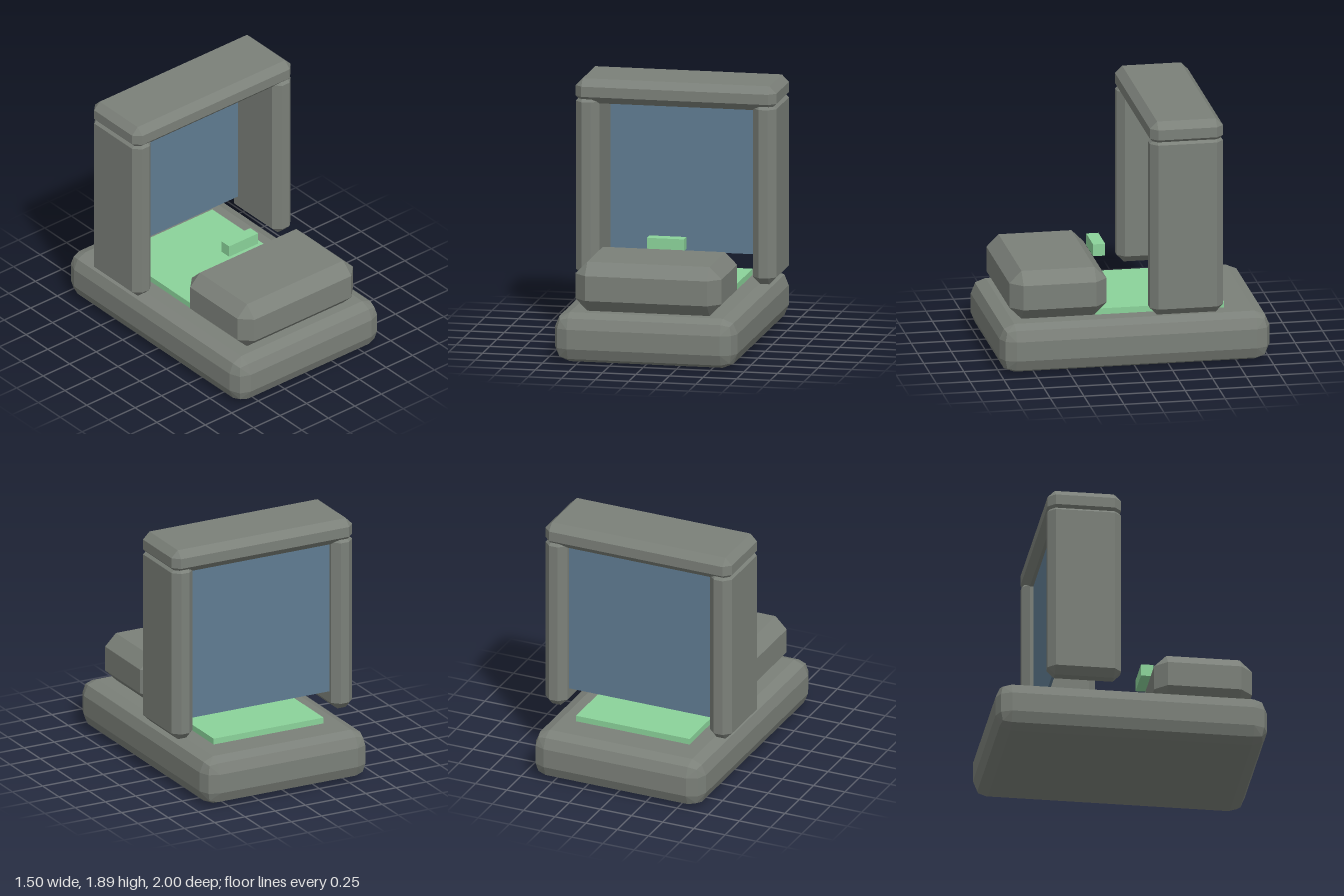
import * as THREE from 'three';
import { ConvexGeometry } from 'three/addons/geometries/ConvexGeometry.js';

// Box with bevelled edges, given by [min, max] per axis.
// rounds = 1: one flat chamfer; rounds = 2: a two-step rounded edge.
function bevelBox(xr, yr, zr, r, rounds = 1) {
  const ranges = [xr, yr, zr];
  const centre = ranges.map(([a, b]) => (a + b) / 2);
  const inner = ranges.map(([a, b]) => (b - a) / 2 - r);
  const dirs = [[1, 0, 0], [0, 1, 0], [0, 0, 1]];
  if (rounds === 2) dirs.push([1, 1, 0], [1, 0, 1], [0, 1, 1], [1, 1, 1]);
  const points = [];
  for (const sx of [-1, 1]) for (const sy of [-1, 1]) for (const sz of [-1, 1]) {
    const s = [sx, sy, sz];
    for (const d of dirs) {
      const len = Math.hypot(...d);
      points.push(new THREE.Vector3(...s.map((k, i) => centre[i] + k * (inner[i] + r * d[i] / len))));
    }
  }
  return new ConvexGeometry(points);
}

// Plain box given by [min, max] per axis.
function plainBox(xr, yr, zr) {
  const size = [xr, yr, zr].map(([a, b]) => b - a);
  const mid = [xr, yr, zr].map(([a, b]) => (a + b) / 2);
  return new THREE.BoxGeometry(...size).translate(...mid);
}

export function createModel() {
  const model = new THREE.Group();
  model.name = 'framedBooth';

  const material = (name, color) => {
    const m = new THREE.MeshStandardMaterial({ color });
    m.name = name;
    return m;
  };
  const grey = material('stoneGrey', 0x7b8079);
  const blue = material('panelBlue', 0x607c92);
  const green = material('paleGreen', 0x8bd39a);

  const add = (name, geometry, mat) => {
    const mesh = new THREE.Mesh(geometry, mat);
    mesh.name = name;
    model.add(mesh);
  };

  // Rounded plinth
  add('base', bevelBox([-0.68, 0.68], [0, 0.365], [-1, 1], 0.11, 2), grey);

  // Chamfered block at the front
  add('frontBlock', bevelBox([-0.545, 0.545], [0.365, 0.73], [0.185, 0.905], 0.09), grey);

  // Frame: two uprights and a lintel
  const frameZ = [-0.633, -0.092];
  add('leftPillar', bevelBox([0.572, 0.747], [0.415, 1.772], frameZ, 0.053), grey);
  add('rightPillar', bevelBox([-0.747, -0.572], [0.415, 1.772], frameZ, 0.053), grey);
  add('lintel', bevelBox([-0.748, 0.748], [1.706, 1.888], frameZ, 0.053), grey);

  // Panel hung between the uprights
  add('backPanel', plainBox([-0.575, 0.575], [0.55, 1.72], [-0.555, -0.535]), blue);

  // Floor mat and small floating bar
  add('floorMat', plainBox([-0.455, 0.455], [0.36, 0.41], [-0.685, 0.27]), green);
  add('smallBar', plainBox([-0.137, 0.137], [0.71, 0.80], [0.135, 0.225]), green);

  return model;
}
